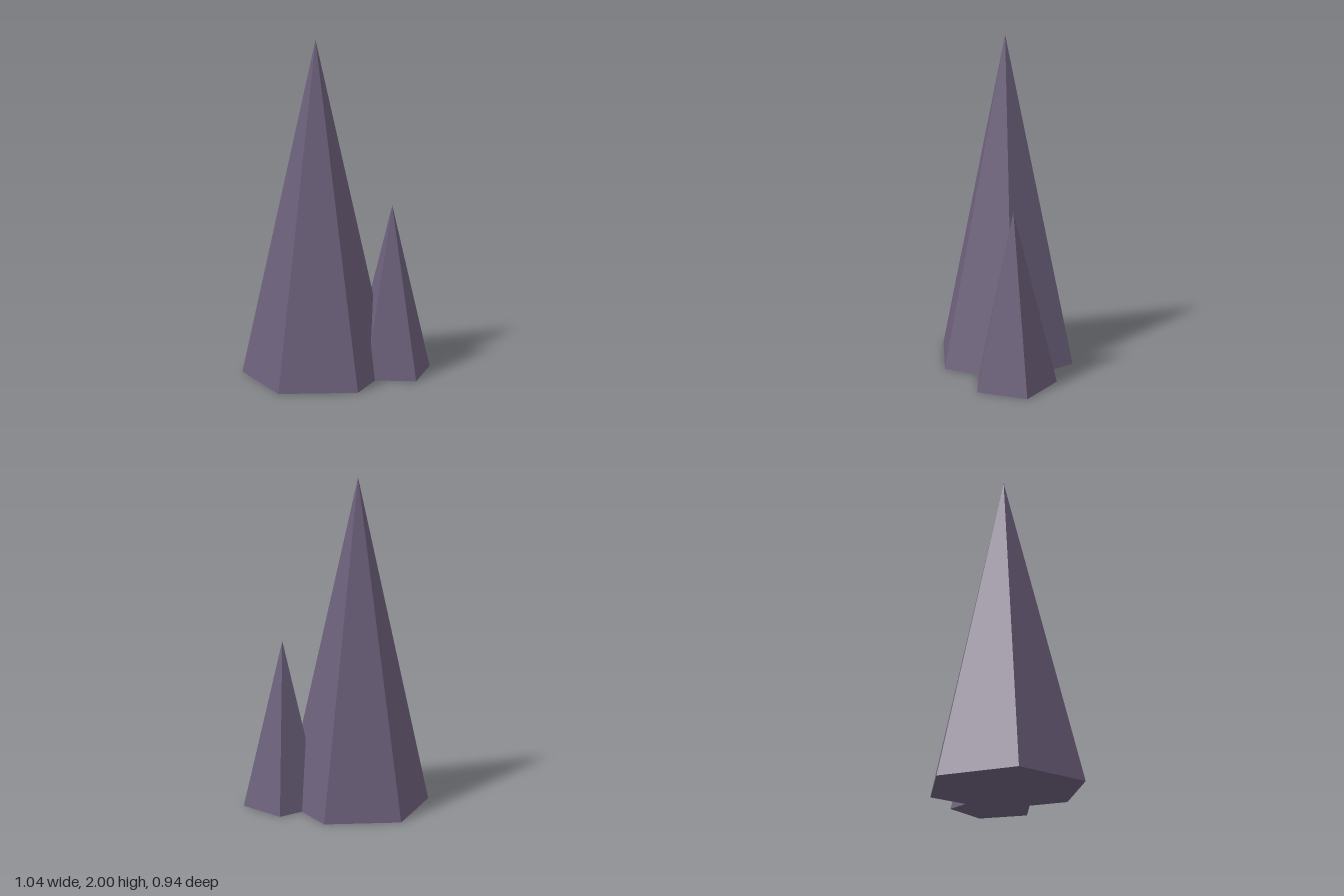
import * as THREE from 'three';

export function createModel() {
  const group = new THREE.Group();
  group.name = 'rockSpires';
  const material = new THREE.MeshStandardMaterial({ color: 0x6b5f7a, flatShading: true });

  // Faceted spire standing on the ground, one corner facing the front
  const addSpire = (name, radius, height, sides, x, z) => {
    const spire = new THREE.Mesh(new THREE.ConeGeometry(radius, height, sides), material);
    spire.name = name;
    spire.position.set(x, height / 2, z);
    group.add(spire);
  };

  addSpire('tallSpire', 0.455, 2, 6, -0.125, -0.015);
  addSpire('smallSpire', 0.256, 1.025, 5, 0.273, 0.212);

  return group;
}
